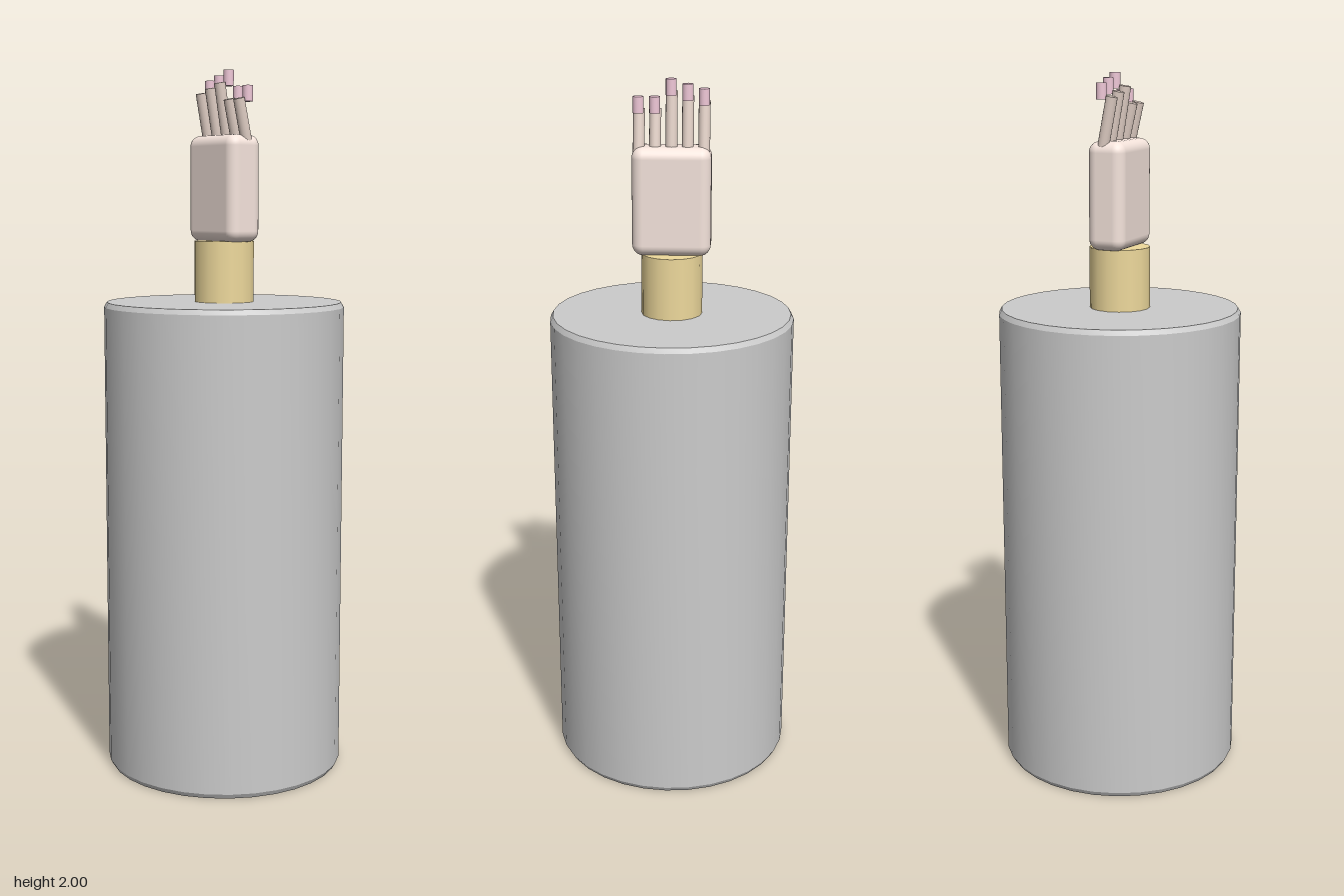
import * as THREE from 'three';
import { RoundedBoxGeometry } from 'three/addons/geometries/RoundedBoxGeometry.js';
import { toCreasedNormals } from 'three/addons/utils/BufferGeometryUtils.js';

const material = (color) => new THREE.MeshStandardMaterial({ color });

function addPart(parent, name, geometry, mat) {
  const mesh = new THREE.Mesh(geometry, mat);
  mesh.name = name;
  parent.add(mesh);
  return mesh;
}

// Cylinder whose end centres lie at two given points
function rod(parent, name, from, to, radius, mat) {
  const axis = to.clone().sub(from);
  const mesh = addPart(parent, name, new THREE.CylinderGeometry(radius, radius, axis.length(), 16), mat);
  mesh.position.copy(from).add(to).multiplyScalar(0.5);
  mesh.quaternion.setFromUnitVectors(new THREE.Vector3(0, 1, 0), axis.normalize());
  return mesh;
}

export function createModel() {
  const model = new THREE.Group();
  model.name = 'handOnPedestal';

  const grey = material(0xcccccc);
  const gold = material(0xeed99c);
  const skin = material(0xf5e4dc);
  const fingerSkin = material(0xe2d0c6);
  const pink = material(0xf0c8d8);

  // Pedestal: tall drum with a narrow bevel at both rims
  const profile = [[0, 0], [0.334, 0], [0.342, 0.014], [0.342, 1.34], [0.334, 1.354], [0, 1.354]]
    .map(([r, y]) => new THREE.Vector2(r, y));
  addPart(model, 'pedestal', toCreasedNormals(new THREE.LatheGeometry(profile, 32), 0.5), grey);

  // Wrist post
  rod(model, 'wrist', new THREE.Vector3(0, 1.35, 0), new THREE.Vector3(0, 1.526, 0), 0.085, gold);

  // Palm: soft-edged block
  const palm = addPart(model, 'palm', new RoundedBoxGeometry(0.216, 0.296, 0.108, 4, 0.03), skin);
  palm.position.y = 1.672;

  // Fingers: leaning lower segment and an upright tip set behind its top
  const tipTops = [1.975, 1.987, 2.0, 1.953, 1.953];
  tipTops.forEach((top, i) => {
    const finger = new THREE.Group();
    finger.name = `finger${i + 1}`;
    const x = (i - 2) * 0.0442 + 0.001;
    rod(finger, 'fingerSegment', new THREE.Vector3(x, 1.79, -0.013), new THREE.Vector3(x, top - 0.036, 0.016), 0.016, fingerSkin);
    rod(finger, 'fingerTip', new THREE.Vector3(x, top - 0.044, -0.015), new THREE.Vector3(x, top, -0.015), 0.0145, pink);
    model.add(finger);
  });

  return model;
}
